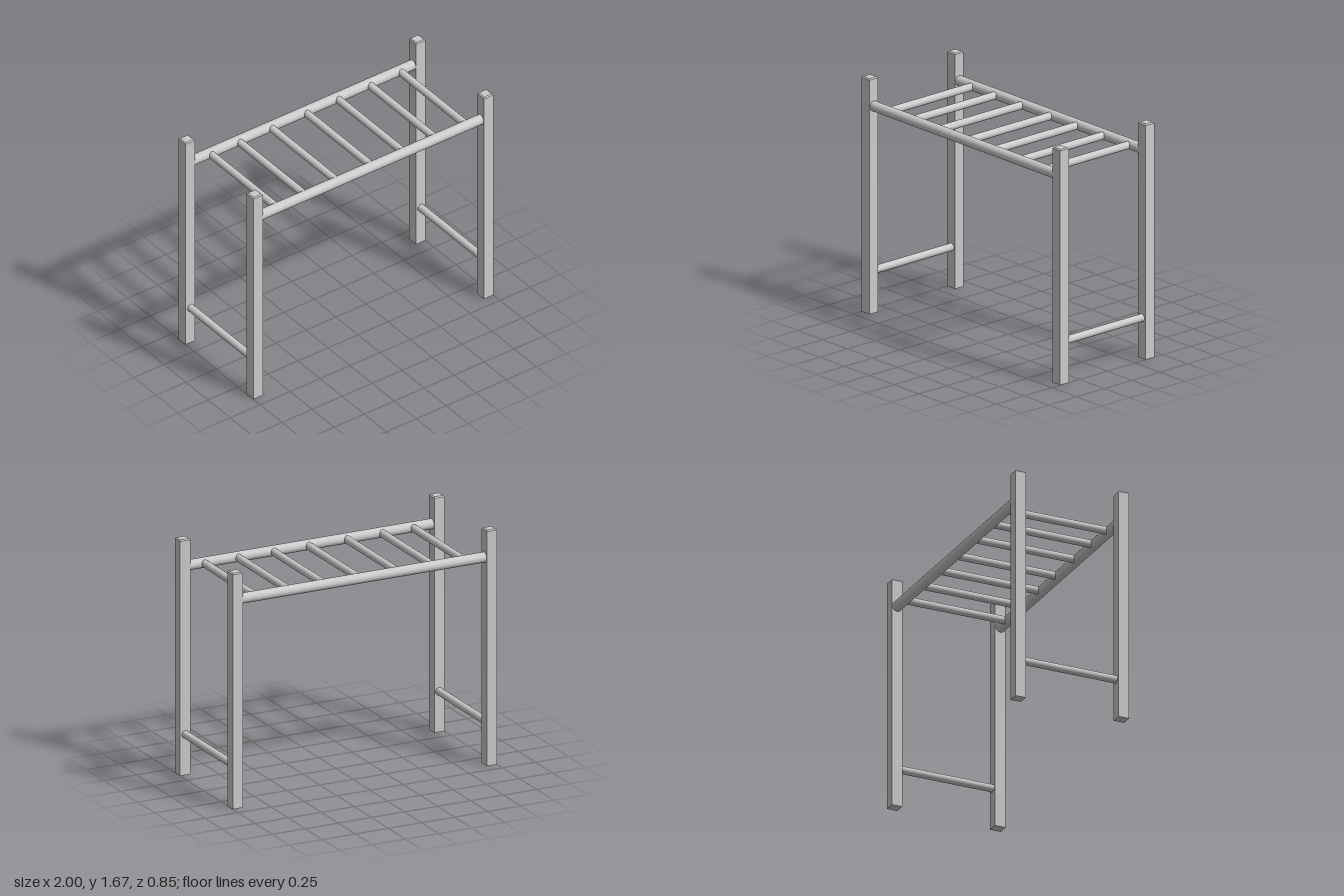
import * as THREE from 'three';

export function createModel() {
  const group = new THREE.Group();
  const smooth = new THREE.MeshStandardMaterial({ color: 0xcccccc });
  const flat = new THREE.MeshStandardMaterial({ color: 0xcccccc, flatShading: true });

  const POST_X = 0.961, POST_Z = 0.385, POST_W = 0.078, POST_H = 1.675;
  const BEVEL = 0.008, RAIL_Y = 1.475;

  const add = (name, geometry, material, x, y, z) => {
    const mesh = new THREE.Mesh(geometry, material);
    mesh.name = name;
    mesh.position.set(x, y, z);
    group.add(mesh);
  };

  // Square post: the middle ring of vertices is lifted to form a small bevel at the top
  const post = new THREE.BoxGeometry(POST_W, POST_H, POST_W, 1, 2, 1);
  const p = post.attributes.position;
  const inset = 1 - (2 * BEVEL) / POST_W;
  for (let i = 0; i < p.count; i++) {
    const y = p.getY(i);
    if (y > 0.01) p.setXYZ(i, p.getX(i) * inset, y, p.getZ(i) * inset);
    else if (y > -0.01) p.setY(i, POST_H / 2 - BEVEL);
  }
  post.computeVertexNormals();

  // Round bars along x (rails) and along z (rungs and braces)
  const rail = new THREE.CylinderGeometry(0.036, 0.036, POST_X * 2, 32).rotateZ(Math.PI / 2);
  const rung = new THREE.CylinderGeometry(0.027, 0.027, POST_Z * 2, 32).rotateX(Math.PI / 2);

  for (const [end, sz] of [['front', 1], ['back', -1]]) {
    add(end + 'Rail', rail, smooth, 0, RAIL_Y, sz * POST_Z);
    for (const [side, sx] of [['Left', 1], ['Right', -1]])
      add(end + side + 'Post', post, flat, sx * POST_X, POST_H / 2, sz * POST_Z);
  }

  // Overhead rungs, slightly unevenly spaced
  [-0.773, -0.537, -0.27, 0.02, 0.284, 0.551, 0.807].forEach((x, i) =>
    add('rung' + (i + 1), rung, smooth, x, RAIL_Y, 0));

  // Low braces joining the posts at each end
  add('leftBrace', rung, smooth, POST_X, 0.29, 0);
  add('rightBrace', rung, smooth, -POST_X + 0.003, 0.29, 0);

  return group;
}
